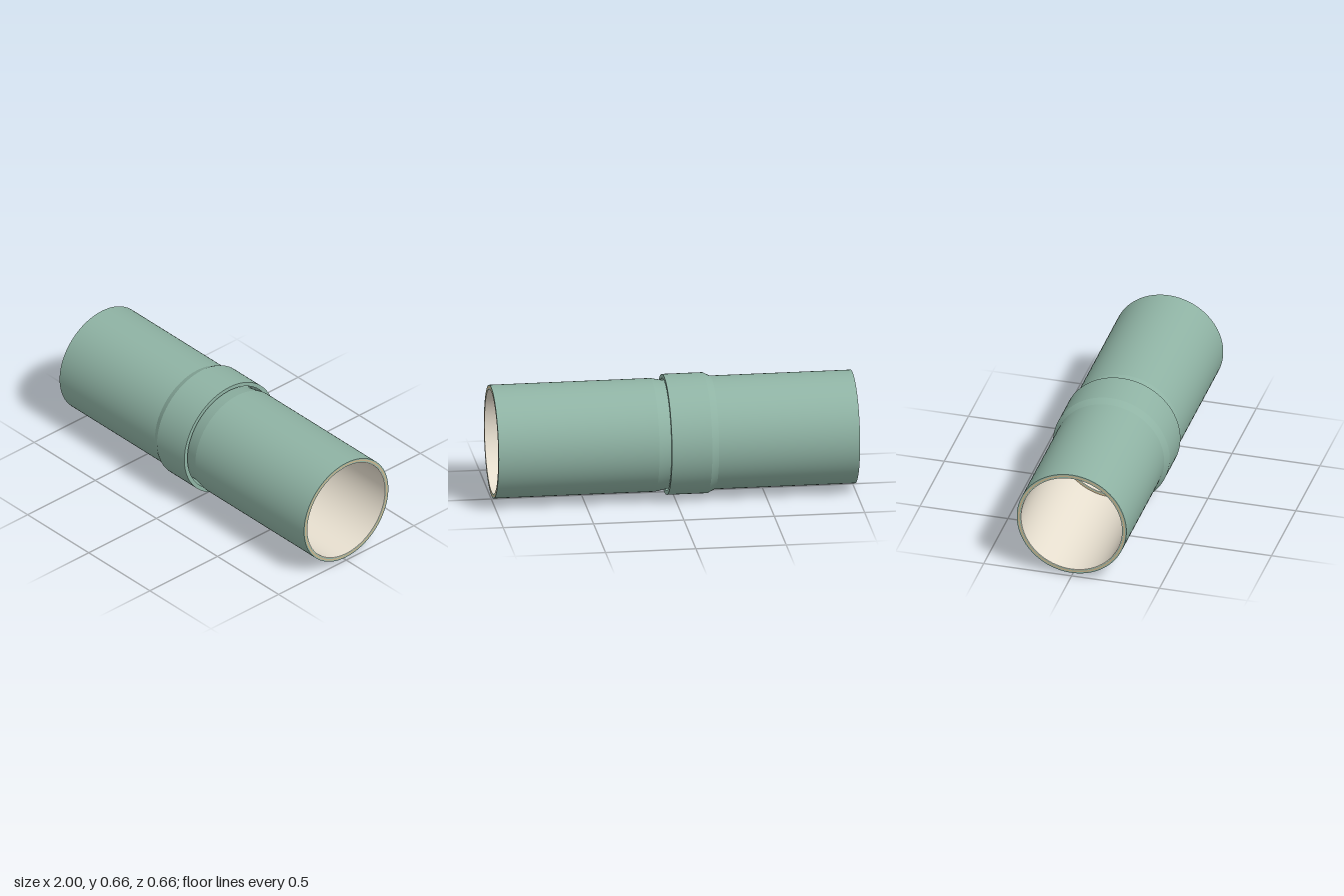
import * as THREE from 'three';
import { toCreasedNormals } from 'three/addons/utils/BufferGeometryUtils.js';

const SEGMENTS = 96;
const AXIS_HEIGHT = 0.332;

const green = new THREE.MeshStandardMaterial({ color: 0x8fb3a4 });
const tan = new THREE.MeshStandardMaterial({ color: 0xcbb68e });
const cream = new THREE.MeshStandardMaterial({ color: 0xe8e0d0 });

// Pipe wall, from the outside in: name, material, outer and inner depth
const LAYERS = [
  ['Coating', green, 0, 0.007],
  ['Core', tan, 0.007, 0.0165],
  ['InnerCoating', green, 0.0165, 0.021],
  ['Liner', cream, 0.021, 0.0245],
];

// Closed ring profile of [x, radius] points, turned about the x axis
function turned(name, profile, material) {
  const points = [...profile, profile[0]].map(([x, r]) => new THREE.Vector2(r, x));
  const geometry = toCreasedNormals(new THREE.LatheGeometry(points, SEGMENTS), 0.12);
  geometry.rotateZ(-Math.PI / 2);
  const mesh = new THREE.Mesh(geometry, material);
  mesh.name = name;
  return mesh;
}

// A wall layer that follows an outer path between two depths
function layer(name, path, material, outer, inner) {
  const offset = (depth) => path.map(([x, r]) => [x, r - depth]);
  return turned(name, [...offset(outer), ...offset(inner).reverse()], material);
}

export function createModel() {
  const model = new THREE.Group();
  model.name = 'pipeJoint';

  // Socket pipe: the coating widens into a bell around the other pipe
  const socketPipe = new THREE.Group();
  socketPipe.name = 'socketPipe';
  socketPipe.add(turned('socketCoatingAndBell', [
    [-1, 0.312], [-0.22, 0.312], [-0.18, 0.332], [0.043, 0.332],
    [0.043, 0.309], [-0.18, 0.309], [-0.2, 0.305], [-1, 0.305],
  ], green));
  const socketPath = [[-1, 0.312], [-0.2, 0.312]];
  for (const [name, material, outer, inner] of LAYERS.slice(1)) {
    socketPipe.add(layer('socket' + name, socketPath, material, outer, inner));
  }

  // Spigot pipe: tapers down and slides into the bell
  const spigotPipe = new THREE.Group();
  spigotPipe.name = 'spigotPipe';
  const spigotPath = [[-0.2, 0.2945], [0.02, 0.2945], [0.11, 0.312], [1, 0.312]];
  for (const [name, material, outer, inner] of LAYERS) {
    spigotPipe.add(layer('spigot' + name, spigotPath, material, outer, inner));
  }

  model.add(socketPipe, spigotPipe);
  model.position.y = AXIS_HEIGHT;

  const root = new THREE.Group();
  root.add(model);
  return root;
}
